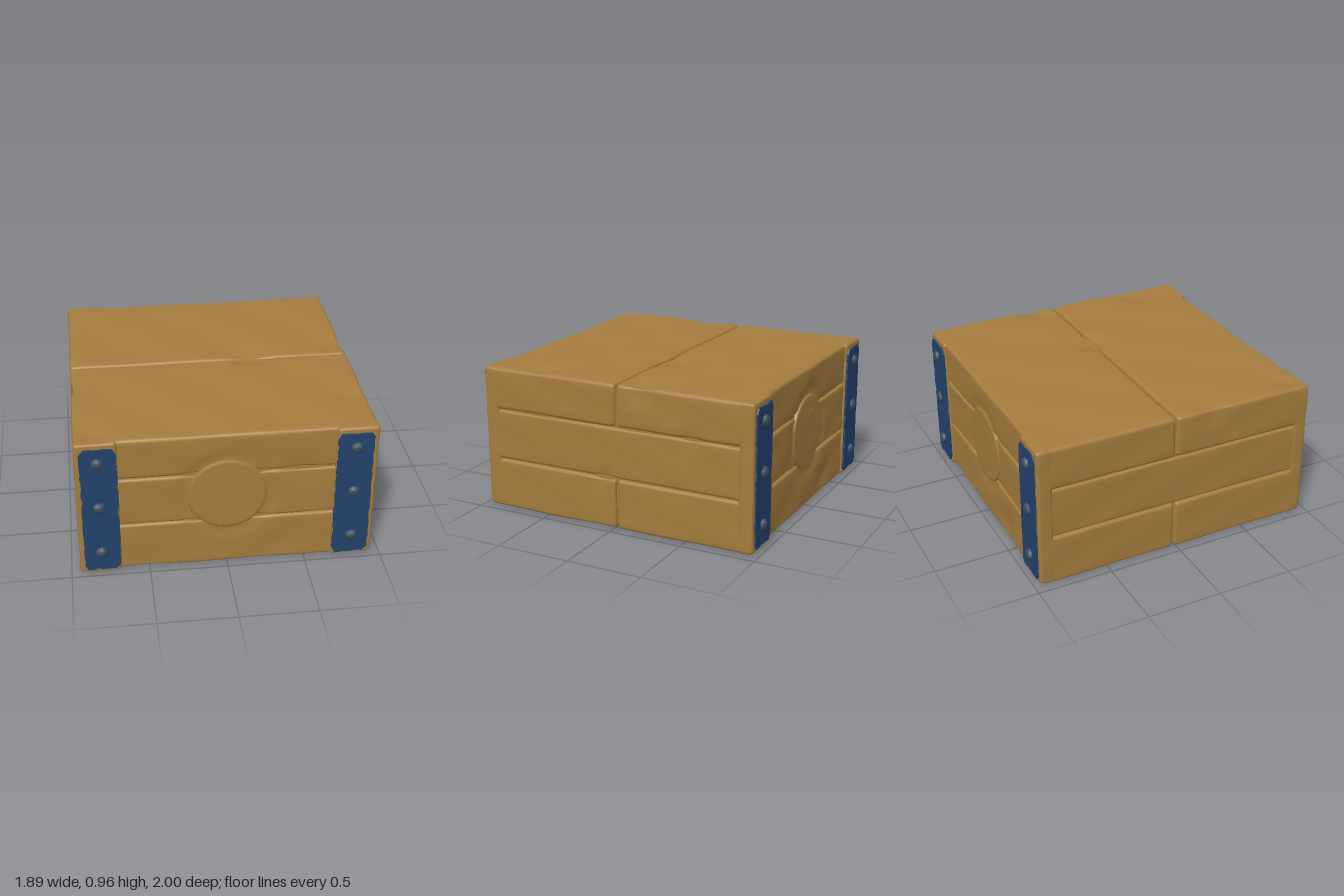
import * as THREE from 'three';
import { mergeVertices } from 'three/addons/utils/BufferGeometryUtils.js';

const wood = new THREE.MeshStandardMaterial({ color: 0xa47c3e });
wood.name = 'wood';
const blue = new THREE.MeshStandardMaterial({ color: 0x23426e });
blue.name = 'blue paint';
const iron = new THREE.MeshStandardMaterial({ color: 0x3b4a5c });
iron.name = 'dark iron';

// Worn spots in the timber: x, y, z, radius, depth
const DENTS = [
  [0.28, 0.96, -0.05, 0.16, 0.03], [0.83, 0.96, -0.14, 0.1, 0.015],
  [0.84, 0.96, 0.57, 0.1, 0.018], [-0.82, 0.96, 0.84, 0.09, 0.015],
  [0.33, 0.1, 0.94, 0.12, 0.015], [-0.5, 0.08, 0.94, 0.14, 0.01],
  [0.94, 0.92, -0.2, 0.12, 0.018], [0.94, 0.68, -0.55, 0.1, 0.012],
  [0.94, 0.34, 0.07, 0.09, 0.015], [-0.94, 0.92, 0.25, 0.12, 0.018],
  [-0.33, 0.1, -0.94, 0.12, 0.015], [0.45, 0.66, 0.94, 0.16, 0.01],
];

function seeded(seed) {
  return () => {
    seed = (seed * 16807) % 2147483647;
    return seed / 2147483647;
  };
}

function add(group, name, geometry, material, x = 0, y = 0, z = 0) {
  const mesh = new THREE.Mesh(geometry, material);
  mesh.name = name;
  mesh.position.set(x, y, z);
  group.add(mesh);
  return mesh;
}

// Timber with rounded edges, a slight wobble and worn spots
function timber(min, max, r, step) {
  const lo = new THREE.Vector3(...min), hi = new THREE.Vector3(...max);
  const half = hi.clone().sub(lo).multiplyScalar(0.5);
  const mid = hi.clone().add(lo).multiplyScalar(0.5);
  const n = half.toArray().map(h => Math.max(5, Math.round(2 * h / step) + 4));
  let g = new THREE.BoxGeometry(2, 2, 2, ...n);
  g.deleteAttribute('uv');
  g.deleteAttribute('normal');
  g = mergeVertices(g);
  const pos = g.attributes.position;
  const p = new THREE.Vector3(), inner = new THREE.Vector3(), dir = new THREE.Vector3();
  for (let i = 0; i < pos.count; i++) {
    p.fromBufferAttribute(pos, i);
    ['x', 'y', 'z'].forEach((a, k) => {
      // two rows of vertices at each end make the rounded edge
      const q = Math.round((p[a] + 1) / 2 * n[k]);
      const h = half[a];
      if (q <= 2) p[a] = -h + r * q / 2;
      else if (q >= n[k] - 2) p[a] = h - r * (n[k] - q) / 2;
      else p[a] = -h + r + (2 * h - 2 * r) * (q - 2) / (n[k] - 4);
      inner[a] = THREE.MathUtils.clamp(p[a], -h + r, h - r);
    });
    dir.copy(p).sub(inner).normalize();
    p.copy(inner).addScaledVector(dir, r).add(mid);
    let cut = 0.003 + 0.003 * Math.sin(p.x * 9 + p.y * 13) * Math.sin(p.z * 8 - p.y * 11 + 1);
    for (const [x, y, z, radius, depth] of DENTS) {
      const d = Math.hypot(p.x - x, p.y - y, p.z - z) / radius;
      if (d < 1) cut += depth * (1 - d);
    }
    // shallow hollow around the round medallion
    if (Math.abs(p.z) > 0.9) {
      const d = Math.abs(Math.hypot(p.x, p.y - 0.52) - 0.27);
      cut += 0.012 * Math.max(0, 1 - d / 0.06);
    }
    p.addScaledVector(dir, -cut);
    pos.setXYZ(i, p.x, p.y, p.z);
  }
  g.computeVertexNormals();
  return g;
}

// Flat strap with ragged painted edges
function strapGeometry(w, h, seed) {
  const rand = seeded(seed);
  const pts = [];
  const edge = (x0, y0, x1, y1, n) => {
    const len = Math.hypot(x1 - x0, y1 - y0);
    for (let i = 1; i < n; i++) {
      const t = (i + 0.5 * (rand() - 0.5)) / n, inset = rand() * rand() * 0.014;
      pts.push(new THREE.Vector2(
        x0 + (x1 - x0) * t - (y1 - y0) / len * inset,
        y0 + (y1 - y0) * t + (x1 - x0) / len * inset));
    }
  };
  const a = w / 2, b = h / 2;
  edge(-a, -b, a, -b, 8);
  edge(a, -b, a, b, 26);
  edge(a, b, -a, b, 8);
  edge(-a, b, -a, -b, 26);
  return new THREE.ExtrudeGeometry(new THREE.Shape(pts), { depth: 0.014, bevelEnabled: false });
}

export function createModel() {
  const crate = new THREE.Group();
  crate.name = 'crate';

  // Three courses of planks; the bottom and top ones are split across the middle
  const planks = new THREE.Group();
  planks.name = 'planks';
  crate.add(planks);
  const S = 0.945, SPLIT = -0.02;
  add(planks, 'bottomPlankFront', timber([-S, 0, SPLIT + 0.003], [S, 0.337, S], 0.024, 0.05), wood);
  add(planks, 'bottomPlankBack', timber([-S, 0, -S], [S, 0.337, SPLIT - 0.003], 0.024, 0.05), wood);
  add(planks, 'middlePlank', timber([-S + 0.006, 0.338, -S], [S - 0.006, 0.677, S], 0.022, 0.05), wood);
  add(planks, 'topPlankFront', timber([-S, 0.678, SPLIT + 0.002], [S, 0.963, S], 0.028, 0.05), wood);
  add(planks, 'topPlankBack', timber([-S, 0.678, -S], [S, 0.963, SPLIT - 0.002], 0.028, 0.05), wood);
  add(planks, 'core', new THREE.BoxGeometry(1.84, 0.9, 1.84), wood, 0, 0.48, 0);

  // Front and back ends share the same fittings
  for (const [name, turn] of [['frontFittings', 0], ['backFittings', Math.PI]]) {
    const end = new THREE.Group();
    end.name = name;
    end.rotation.y = turn;
    crate.add(end);

    // Round medallion with a softened rim
    const profile = [[0.255, -0.03], [0.255, 0], [0.247, 0.008], [0.23, 0.011], [0, 0.011]]
      .map(([x, y]) => new THREE.Vector2(x, y));
    const disc = add(end, 'medallion', new THREE.LatheGeometry(profile, 24), wood, 0, 0.52, 0.932);
    disc.rotation.x = Math.PI / 2;

    for (const s of [-1, 1]) {
      // Corner post, painted strap and studs
      const x0 = s < 0 ? -0.945 : 0.675;
      add(end, 'cornerPost', timber([x0, 0.002, 0.86], [x0 + 0.27, 0.962, 0.963], 0.022, 0.06), wood);
      add(end, 'strap', strapGeometry(0.235, 0.9, 77 + s * 30 + turn * 10 | 0), blue, s * 0.797, 0.475, 0.956);
      [0.16, 0.5, 0.825].forEach((y, i) => {
        const stud = add(end, 'stud', new THREE.SphereGeometry(0.042, 8, 4, 0, Math.PI * 2, 0, Math.PI / 2),
          iron, s * 0.803, y, 0.968);
        stud.scale.y = 0.76;
        stud.rotation.set(Math.PI / 2, i * 0.4, 0);
      });
    }
  }
  return crate;
}
